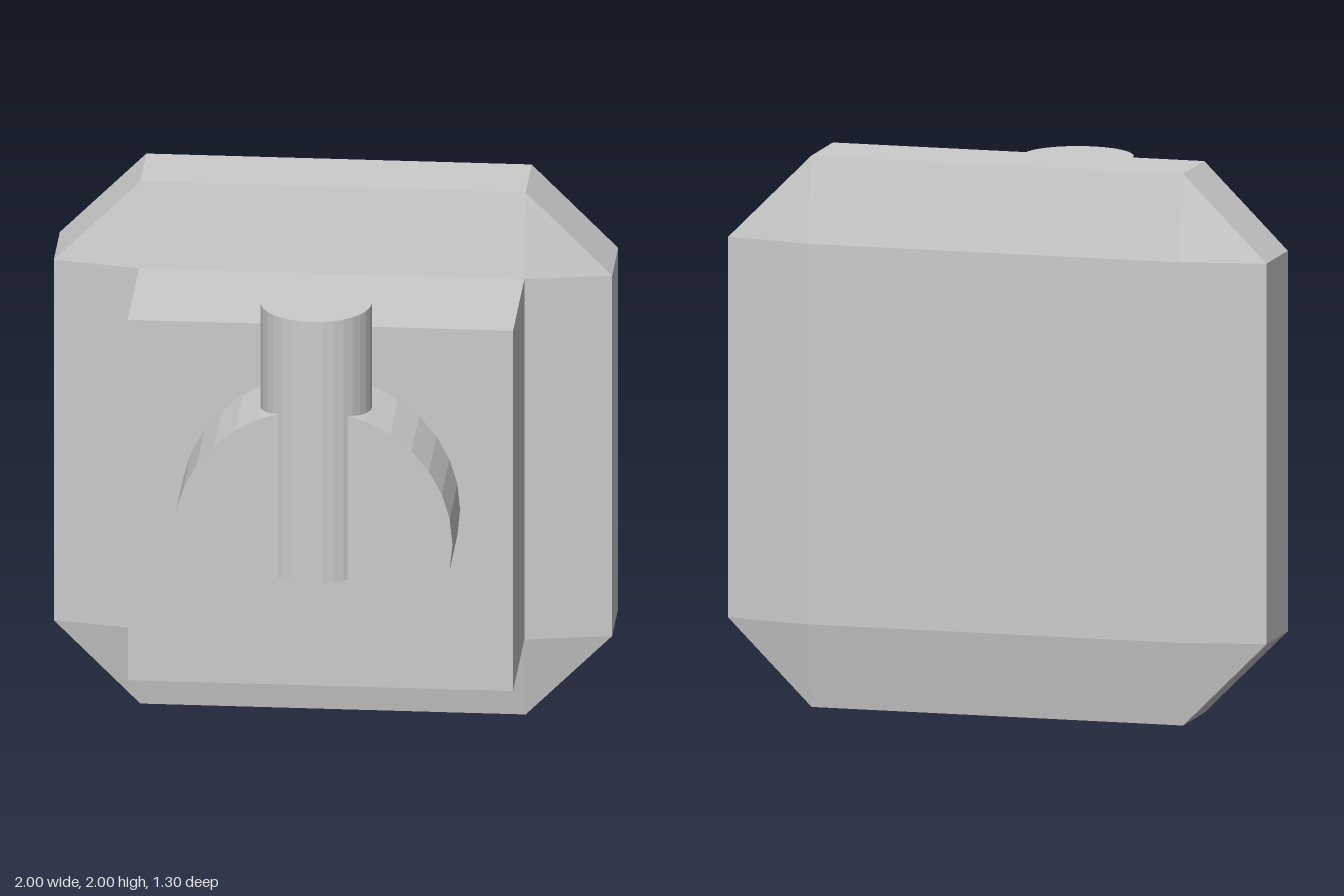
import * as THREE from 'three';
import { ConvexGeometry } from 'three/addons/geometries/ConvexGeometry.js';

const material = new THREE.MeshStandardMaterial({ color: 0xcccccc, flatShading: true });

export function createModel() {
  const model = new THREE.Group();
  const add = (name, geometry, x, y, z) => {
    const mesh = new THREE.Mesh(geometry, material);
    mesh.name = name;
    mesh.position.set(x, y, z);
    model.add(mesh);
    return mesh;
  };

  const inner = 0.69; // half width of the square faces

  // Wall plate: octagonal rim tapering to a square face at front and back
  const points = [];
  for (const sx of [-1, 1]) for (const sy of [-1, 1]) {
    for (const z of [-0.59, -0.315]) {
      points.push(new THREE.Vector3(sx, sy * inner, z), new THREE.Vector3(sx * inner, sy, z));
    }
    for (const z of [-0.65, -0.255]) points.push(new THREE.Vector3(sx * inner, sy * inner, z));
  }
  add('wallPlate', new ConvexGeometry(points), 0, 1, 0);

  // Square housing in front of the plate
  add('housing', new THREE.BoxGeometry(inner * 2, inner * 2, 0.51), 0, 1, 0);

  // Round knob facing forward
  const knob = add('knob', new THREE.CylinderGeometry(0.5, 0.5, 0.355, 32), 0, 1, 0.4275);
  knob.rotation.x = Math.PI / 2;

  // Upright handle sunk into the knob
  add('handle', new THREE.CylinderGeometry(0.2, 0.2, 1, 32), 0, 1.355, 0.45);

  return model;
}
